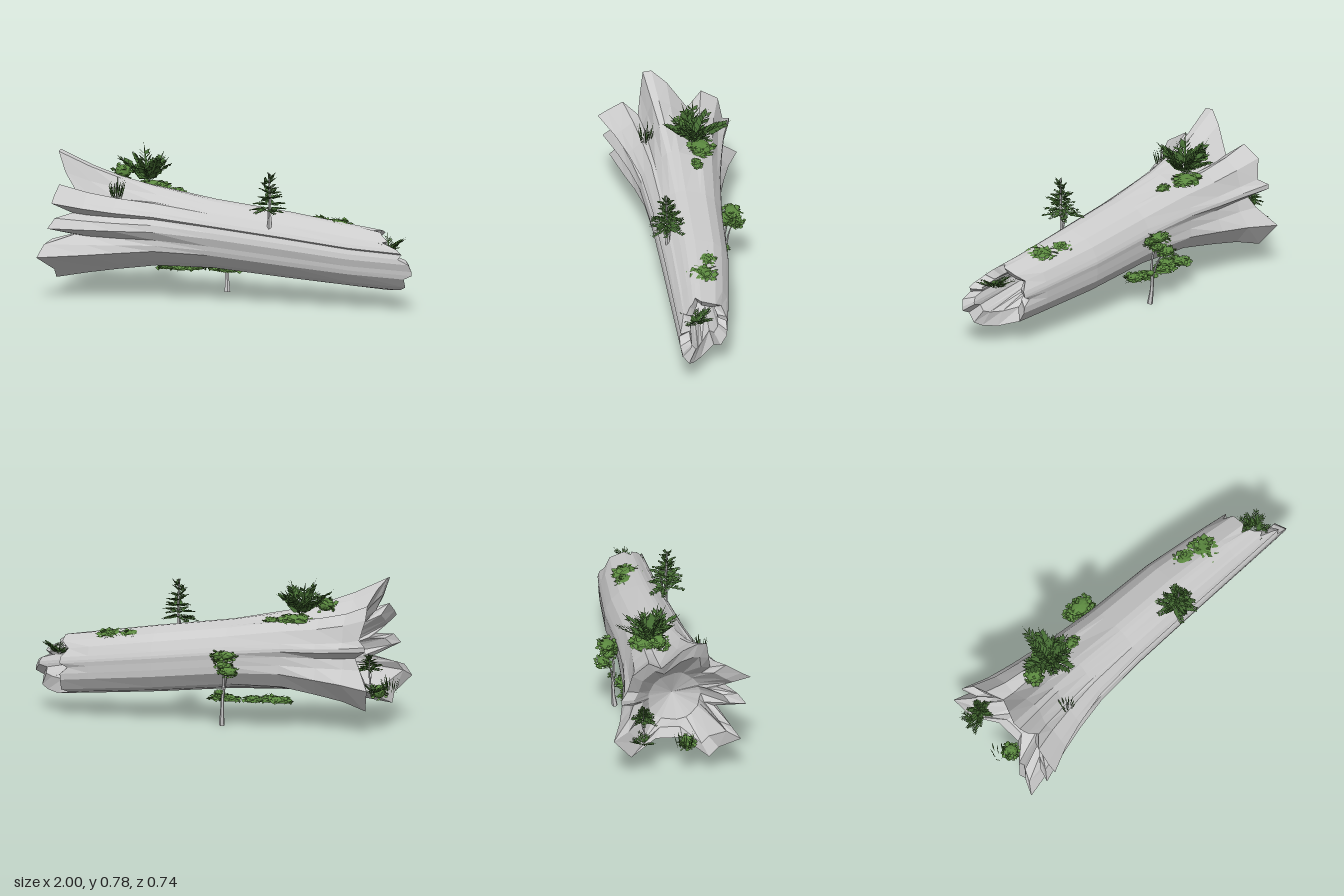
import * as THREE from 'three';

let seed = 7;
const rnd = (a = 0, b = 1) => {
  seed = (seed * 16807) % 2147483647;
  return a + (b - a) * (seed / 2147483647);
};
const V = (x, y, z) => new THREE.Vector3(x, y, z);
const mat = (color, side = THREE.FrontSide) =>
  new THREE.MeshStandardMaterial({ color, flatShading: true, side });
const wood = mat(0xcccccc);
const leafGreen = mat(0x5c8a40, THREE.DoubleSide);
const darkGreen = mat(0x446a32, THREE.DoubleSide);

function meshFrom(name, triangles, material) {
  const geo = new THREE.BufferGeometry().setFromPoints(triangles);
  geo.computeVertexNormals();
  const mesh = new THREE.Mesh(geo, material);
  mesh.name = name;
  return mesh;
}

// Flared root outline: [z, y, x] around the trunk
const ROOTS = [
  [.34, .39, -.93], [.30, .44, -.9], [.20, .455, -.83], [.37, .53, -.9], [.32, .56, -.9],
  [.24, .61, -.89], [.17, .57, -.82], [.15, .66, -.88], [.13, .765, -.92], [.085, .77, -.92],
  [.01, .715, -.88], [-.09, .59, -.82], [-.17, .655, -.87], [-.26, .595, -.88], [-.28, .49, -.85],
  [-.32, .46, -.89], [-.32, .435, -.89], [-.24, .39, -.82], [-.27, .33, -.85], [-.365, .235, -.91],
  [-.265, .115, -.88], [-.12, .18, -.82], [.02, .17, -.82], [.14, .10, -.93], [.19, .15, -.93],
  [.295, .225, -1], [.25, .29, -.97], [.19, .34, -.82],
];
// Trunk sections: x, centre y, centre z, radius y, radius z, share of root flare
const SECTIONS = [
  [-.75, .36, 0, .2, .2, .62], [-.6, .36, 0, .2, .2, .36], [-.4, .365, .005, .2, .2, .1],
  [-.1, .343, .015, .185, .188, 0], [.3, .302, .025, .177, .175, 0], [.65, .266, .05, .164, .15, 0],
];

function buildLog() {
  const n = ROOTS.length;
  const angle = ([z, y]) => Math.atan2(y - .38, z);
  const around = (x, cy, cz, ry, rz, w) => ROOTS.map((p) => {
    const a = angle(p), lobe = 1 + .1 * (Math.hypot(p[0], p[1] - .38) / .31 - 1);
    return V(x, THREE.MathUtils.lerp(cy + ry * lobe * Math.sin(a), p[1], w),
      THREE.MathUtils.lerp(cz + rz * lobe * Math.cos(a), p[0], w));
  });
  const flare = ROOTS.map(([z, y, x]) => V(x, y, z));
  // Splintered end reaches furthest on the front side
  const broken = around(.8, .25, .065, .16, .138, 0);
  broken.forEach((p, j) => {
    p.x += .19 * Math.max(0, Math.cos(angle(ROOTS[j]) + .3)) ** 1.5 + (j % 4 === 1 ? -.035 : .005);
  });
  const shrink = (ring, s, dx, cy, cz) =>
    ring.map((p) => V(p.x + dx, cy + (p.y - cy) * s, cz + (p.z - cz) * s));
  const rings = [
    Array(n).fill(V(-.66, .36, 0)), around(-.72, .36, 0, .14, .14, 0), shrink(flare, .76, .03, .38, 0),
    flare, ...SECTIONS.map((s) => around(...s)), broken,
    shrink(broken, .62, -.03, .3, .05), around(.6, .31, .05, .06, .06, 0),
    Array(n).fill(V(.55, .31, .05)),
  ];
  const tris = [];
  for (let i = 0; i < rings.length - 1; i++) {
    for (let j = 0; j < n; j++) {
      const k = (j + 1) % n, a = rings[i], b = rings[i + 1];
      tris.push(a[j], b[j], a[k], b[j], b[k], a[k]);
    }
  }
  return meshFrom('hollowLog', tris, wood);
}

// One folded diamond leaf, rolled a little at random
function leaf(tris, base, dir, length, width) {
  const d = dir.clone().normalize();
  const side = d.clone().cross(V(rnd(-.9, .9), 1, rnd(-.9, .9))).normalize().multiplyScalar(width / 2);
  const tip = base.clone().addScaledVector(d, length);
  const mid = base.clone().addScaledVector(d, length * .5).add(V(0, -width * .1, 0));
  tris.push(base, mid.clone().add(side), tip, base, tip, mid.clone().sub(side));
}

// Arching fronds with paired leaflets
function fronds(tris, base, count, length, lift, width) {
  for (let i = 0; i < count; i++) {
    const a = (i + rnd(-.3, .3)) / count * Math.PI * 2;
    const e = lift * rnd(.6, 1.3), len = length * rnd(.8, 1.1);
    const out = V(Math.cos(a), 0, Math.sin(a)), side = V(-out.z, 0, out.x);
    const at = (t) => base.clone().addScaledVector(out, len * t * Math.cos(e))
      .add(V(0, len * (t * Math.sin(e) - .25 * t * t), 0));
    for (let k = 1; k <= 6; k++) {
      const p = at(k / 7), along = at((k + 1) / 7).sub(p).normalize();
      const size = len * (.4 - .035 * k);
      for (const s of [-1, 1]) {
        leaf(tris, p, along.clone().addScaledVector(side, s * .8), size, size * width);
      }
    }
    leaf(tris, base, at(1).sub(base), len, len * .07);
  }
}

function fernPlant(name, pos, count, length, lift, width) {
  const tris = [];
  fronds(tris, V(...pos), count, length, lift, width);
  return meshFrom(name, tris, darkGreen);
}

// Leafy dome: a faceted core covered with overlapping leaves
function bush(name, [x, y, z], [rx, ry, rz], flat = true, leaves = 40) {
  const group = new THREE.Group();
  group.name = name;
  const core = new THREE.Mesh(new THREE.IcosahedronGeometry(1, 1), leafGreen);
  const pos = core.geometry.attributes.position;
  for (let i = 0; i < pos.count; i++) {
    const py = pos.getY(i);
    pos.setXYZ(i, pos.getX(i) * rx * .8, (flat ? Math.max(py, 0) : py) * ry * .8, pos.getZ(i) * rz * .8);
  }
  core.geometry.computeVertexNormals();
  core.position.set(x, y, z);
  core.name = 'foliageCore';
  const tris = [], size = Math.min(rx, rz) * .6;
  for (let i = 0; i < leaves; i++) {
    const a = i * 2.4, h = flat ? rnd(.05, 1) : rnd(-.9, 1), r = Math.sqrt(1 - h * h);
    const base = V(x + rx * .75 * r * Math.cos(a), y + ry * .85 * h, z + rz * .75 * r * Math.sin(a));
    leaf(tris, base, V(Math.cos(a), flat ? -.15 * h : rnd(-.6, .4), Math.sin(a)), size * rnd(.6, 1), size);
  }
  group.add(core, meshFrom('leaves', tris, leafGreen));
  return group;
}

// Tapering trunk along a curve
function stem(name, points, radius) {
  const curve = new THREE.CatmullRomCurve3(points.map((p) => V(...p)));
  const geo = new THREE.TubeGeometry(curve, 6, radius, 5);
  const pos = geo.attributes.position;
  for (let i = 0; i < pos.count; i++) {
    const t = Math.floor(i / 6) / 6, c = curve.getPointAt(t);
    const p = V().fromBufferAttribute(pos, i).sub(c).multiplyScalar(1 - .75 * Math.sqrt(t)).add(c);
    pos.setXYZ(i, p.x, p.y, p.z);
  }
  geo.computeVertexNormals();
  const mesh = new THREE.Mesh(geo, mat(0xcccccc, THREE.DoubleSide));
  mesh.name = name;
  return mesh;
}

// Small tree: overlapping tiers of upswept leafy branches
function leafyTree(name, [x, y, z], height, radius, clear, lean) {
  const group = new THREE.Group(), tris = [];
  group.name = name;
  for (let i = 0; i < 7; i++) {
    const t = i / 6;
    fronds(tris, V(x + rnd(-.01, .01), y + height * (clear + (.82 - clear) * t), z + lean * t),
      6 - Math.floor(t * 2), radius * (1.15 - .6 * t), .15 + .9 * t, .6);
  }
  group.add(
    stem('trunk', [[x, y, z], [x + .005, y + height * .5, z + lean * .5], [x, y + height * .93, z + lean]], height * .045),
    stem('sideBranch', [[x, y + height * .1, z], [x - .01, y + height * .3, z - radius * .15], [x, y + height * .5, z - radius * .25]], height * .025),
    meshFrom('foliage', tris, darkGreen));
  return group;
}

// Tall thin blades
function grass(name, [x, y, z], count, height, spread) {
  const tris = [];
  for (let i = 0; i < count; i++) {
    const a = i * 2.4, r = spread * rnd(.1, .5);
    leaf(tris, V(x + r * Math.cos(a), y, z + r * Math.sin(a)),
      V(Math.cos(a) * .25, 1, Math.sin(a) * .25), height * rnd(.6, 1), height * .07);
  }
  return meshFrom(name, tris, darkGreen);
}

export function createModel() {
  seed = 7;
  const model = new THREE.Group();
  model.name = 'fallenLogWithPlants';
  model.add(buildLog());

  // Plants along the top
  model.add(
    leafyTree('smallTree', [.22, .39, .16], .34, .095, .36, .01),
    bush('topBushLarge', [.54, .415, .03], [.095, .045, .075]),
    bush('topBushSmall', [.43, .43, 0], [.07, .035, .055]),
    bush('topBushFront', [.52, .395, .075], [.06, .03, .03]),
    fernPlant('broadFern', [-.49, .58, -.08], 12, .22, .95, .5),
    bush('fernBush', [-.62, .64, -.06], [.055, .045, .05], false),
    bush('fernBushMiddle', [-.47, .55, -.11], [.1, .05, .07]),
    bush('fernBushEnd', [-.33, .54, -.07], [.05, .03, .03]),
    stem('sproutStem', [[-.6, .5, .16], [-.6, .55, .165], [-.6, .62, .165]], .01),
    grass('sproutGrass', [-.6, .53, .165], 18, .12, .06),
    fernPlant('brokenEndFern', [.85, .3, .1], 10, .12, .9, .4),
  );

  // Standing tree behind the log
  const backTree = new THREE.Group();
  backTree.name = 'backTree';
  backTree.add(
    stem('trunk', [[-.09, 0, -.178], [-.095, .1, -.19], [-.1, .25, -.185], [-.11, .37, -.215]], .016),
    stem('branch', [[-.097, .15, -.19], [-.12, .24, -.21], [-.14, .3, -.24]], .009),
    bush('crownTop', [-.11, .375, -.225], [.075, .03, .05], false),
    bush('crownBack', [-.14, .295, -.25], [.06, .03, .042], false),
    bush('crownFront', [-.09, .35, -.185], [.055, .03, .035], false),
    bush('crownInner', [-.11, .32, -.215], [.05, .025, .04], false, 25),
    bush('lowSprig', [-.08, .175, -.19], [.03, .018, .022], false, 20),
  );
  model.add(backTree);

  // Low bushes under the log
  for (const [x, z, r] of [[-.39, -.13, .06], [-.32, -.11, .06], [-.25, -.14, .055], [-.12, -.13, .055], [-.06, -.1, .055]]) {
    model.add(bush('lowBush', [x, .125, z], [r, .038, r]));
  }

  // Plants in the mouth of the root end
  model.add(
    leafyTree('mouthSapling', [-.89, .25, -.2], .16, .07, .5, 0),
    fernPlant('mouthFern', [-.91, .2, -.21], 8, .09, .9, .35),
    bush('mouthBush', [-.885, .175, .03], [.045, .045, .045], false),
    grass('mouthGrass', [-.95, .175, .01], 14, .1, .08),
  );
  return model;
}
